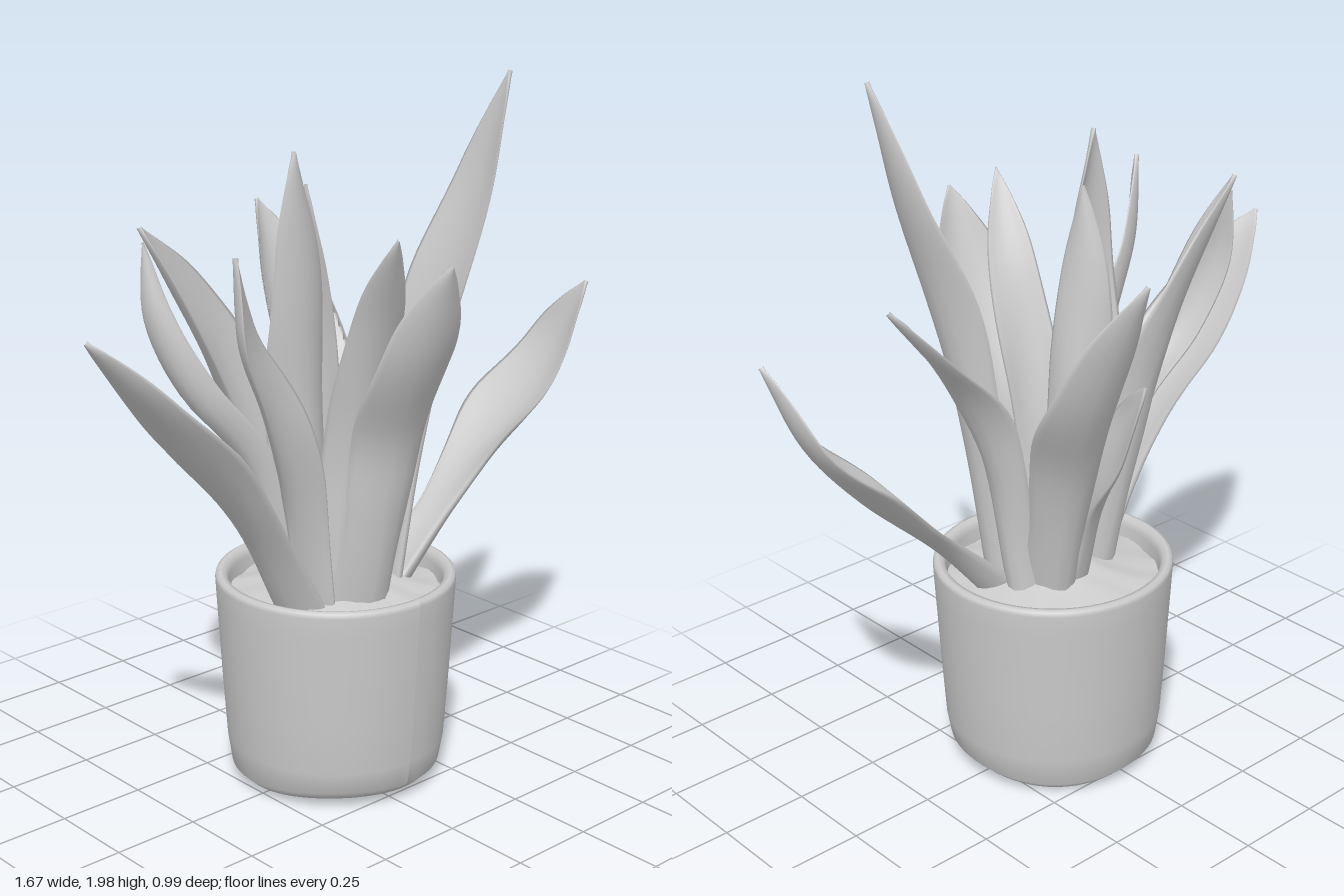
import * as THREE from 'three';

const V = (a) => new THREE.Vector3(...a);
const material = new THREE.MeshStandardMaterial({ color: 0xcccccc });
const CX = 0.025; // pot axis

// A closed, cupped blade swept along a curve.
// side / tipSide = direction across the blade at base and tip, base = width at the soil relative to the widest part
function leafGeometry({ path, side, tipSide = side, width, base = 0.65, cup = 0.25, wave = 0.06 }) {
  const curve = new THREE.CatmullRomCurve3(path.map(V));
  const outline = new THREE.SplineCurve([[0, base], [0.2, base], [0.4, (base + 1) / 2], [0.6, 1], [0.8, 0.78],
    [0.93, 0.35], [1, 0.02]].map((p) => new THREE.Vector2(...p)));
  const rows = 36, half = 8, ring = half * 2;
  const pos = [], index = [];
  const frame = (s) => {
    const t = curve.getTangentAt(s);
    const b = V(side).lerp(V(tipSide), s);
    b.addScaledVector(t, -b.dot(t)).normalize();
    return { b, n: t.clone().cross(b) };
  };
  // The hollow side looks up and towards the plant's centre
  const mid = curve.getPointAt(0.6);
  const inward = new THREE.Vector3(CX - mid.x, 0.15, -mid.z);
  const flip = frame(0.6).n.dot(inward) < 0 ? -1 : 1;
  for (let i = 0; i <= rows; i++) {
    const o = outline.getPoint(i / rows);
    const s = THREE.MathUtils.clamp(o.x, 0, 1);
    const p = curve.getPointAt(s), { b, n } = frame(s);
    const w = Math.max(0.002, o.y * width * 0.5);
    for (let j = 0; j < ring; j++) {
      const u = -Math.cos((j / half) * Math.PI);
      const thick = Math.sin((j / half) * Math.PI) * (0.007 + 0.026 * (1 - s) ** 2);
      const curl = cup * w * (1.6 * u * u - 0.5) * (1.5 - 0.7 * s);
      const ripple = wave * w * u * Math.sin(s * 13 + u);
      const v = p.clone().addScaledVector(b, u * w * flip)
        .addScaledVector(n, (thick + curl + ripple) * flip);
      pos.push(v.x, v.y, v.z);
    }
  }
  for (let i = 0; i < rows; i++) {
    for (let j = 0; j < ring; j++) {
      const k = (j + 1) % ring;
      const a = i * ring + j, c = i * ring + k;
      index.push(a, a + ring, c, c, a + ring, c + ring);
    }
  }
  const g = new THREE.BufferGeometry();
  g.setAttribute('position', new THREE.Float32BufferAttribute(pos, 3));
  g.setIndex(index);
  g.computeVertexNormals();
  return g;
}

const leaves = {
  leftLowLeaf: { path: [[-0.15, 0.55, 0.03], [-0.32, 0.84, 0.05], [-0.55, 1.11, 0.06], [-0.83, 1.43, 0.05]],
    side: [0, 0, 1], tipSide: [0.1, 0.1, 1], width: 0.28, cup: 0.2 },
  rightLowLeaf: { path: [[0.2, 0.57, 0.06], [0.37, 0.75, 0.07], [0.6, 0.96, 0.08], [0.75, 1.14, 0.12], [0.83, 1.35, 0.19]],
    side: [0, 0, 1], tipSide: [-0.2, 0.2, 1], width: 0.28, base: 0.45, cup: 0.2, wave: 0.08 },
  tallRightLeaf: { path: [[0.16, 0.55, 0.05], [0.22, 1.0, 0.08], [0.29, 1.4, 0.13], [0.37, 1.7, 0.19], [0.43, 1.99, 0.24]],
    side: [0.3, 0, 1], tipSide: [-0.2, 0, 1], width: 0.21, cup: 0.2 },
  rightMiddleLeaf: { path: [[0.16, 0.55, -0.03], [0.23, 0.95, -0.01], [0.34, 1.2, 0.0], [0.59, 1.49, -0.02]],
    side: [0.3, 0, 1], tipSide: [0, 0.3, 1], width: 0.19, wave: 0.1 },
  backRightLeaf: { path: [[0.09, 0.55, -0.08], [0.13, 0.95, -0.2], [0.17, 1.25, -0.34], [0.16, 1.58, -0.49]],
    side: [1, 0, 0.3], tipSide: [1, 0, -0.2], width: 0.27, cup: 0.35 },
  backShortLeaf: { path: [[0.03, 0.55, -0.08], [0.02, 0.88, -0.18], [0.0, 1.22, -0.33]],
    side: [0.6, 0, -0.8], tipSide: [0.3, 0, -1], width: 0.17, wave: 0.1 },
  frontLeaf: { path: [[0.02, 0.55, 0.13], [0.03, 0.85, 0.2], [0.03, 1.08, 0.26], [-0.01, 1.33, 0.39], [-0.03, 1.57, 0.49]],
    side: [1, 0, -0.25], tipSide: [1, 0.1, 0.3], width: 0.27, base: 0.82, cup: 0.3 },
  frontInnerLeaf: { path: [[-0.05, 0.55, 0.08], [-0.04, 1.0, 0.14], [-0.05, 1.35, 0.24], [-0.11, 1.63, 0.38]],
    side: [1, 0, 0.3], tipSide: [1, 0, 0.6], width: 0.16, base: 0.9, wave: 0.1 },
  tallLeftLeaf: { path: [[-0.07, 0.55, 0.0], [-0.09, 1.0, -0.01], [-0.1, 1.45, 0.01], [-0.14, 1.81, 0.02]],
    side: [1, 0, 0.3], tipSide: [1, 0, -0.3], width: 0.21, base: 0.8 },
  centreLeaf: { path: [[0.04, 0.55, -0.06], [0.03, 1.0, -0.09], [0.0, 1.4, -0.09], [-0.02, 1.7, -0.07]],
    side: [0.8, 0, 0.6], tipSide: [0.4, 0, 1], width: 0.17, base: 0.9, wave: 0.08 },
  leftBackLeaf: { path: [[-0.1, 0.55, -0.04], [-0.18, 0.95, -0.09], [-0.31, 1.3, -0.11], [-0.52, 1.64, -0.14]],
    side: [1, 0, -0.2], tipSide: [1, -0.3, -0.8], width: 0.27, cup: 0.28 },
  leftUpperLeaf: { path: [[-0.13, 0.55, 0.0], [-0.25, 0.97, -0.01], [-0.42, 1.2, -0.05], [-0.5, 1.4, -0.1], [-0.51, 1.6, -0.14]],
    side: [0.2, 0, 1], tipSide: [0.6, 0, 0.8], width: 0.12, base: 0.9, cup: 0.3 },
  leftFrontLeaf: { path: [[-0.12, 0.55, 0.07], [-0.21, 0.92, 0.12], [-0.35, 1.2, 0.17], [-0.46, 1.4, 0.2], [-0.51, 1.62, 0.23]],
    side: [0.7, 0, 0.5], tipSide: [0.7, 0, -0.9], width: 0.18, cup: 0.25, wave: 0.08 },
};

export function createModel() {
  const model = new THREE.Group();
  model.name = 'pottedPlant';

  // Pot: outer wall, rounded rim, inner wall down to the soil
  const profile = [[0, 0.025], [0.22, 0.02], [0.27, 0.028], [0.298, 0.055], [0.31, 0.13], [0.32, 0.28], [0.328, 0.42],
    [0.335, 0.54], [0.338, 0.6], [0.335, 0.613], [0.324, 0.617], [0.308, 0.612], [0.3, 0.59], [0.295, 0.52]]
    .map((p) => new THREE.Vector2(...p));
  const potGeometry = new THREE.LatheGeometry(profile, 64);
  // Slightly uneven underside
  const pp = potGeometry.attributes.position;
  for (let i = 0; i < pp.count; i++) {
    const y = pp.getY(i), a = Math.atan2(pp.getZ(i), pp.getX(i)), r = Math.hypot(pp.getX(i), pp.getZ(i));
    if (y < 0.1) pp.setY(i, y + r * (0.03 * Math.sin(a) + 0.018 * Math.sin(3 * a + 1)));
  }
  potGeometry.computeVertexNormals();
  const pot = new THREE.Mesh(potGeometry, material);
  pot.name = 'pot';
  pot.position.x = CX;
  model.add(pot);

  // Soil: a low lumpy mound
  const soilGeometry = new THREE.LatheGeometry(
    [[0.3, 0.555], [0.24, 0.565], [0.16, 0.59], [0.08, 0.62], [0, 0.63]].map((p) => new THREE.Vector2(...p)), 48);
  const sp = soilGeometry.attributes.position;
  for (let i = 0; i < sp.count; i++) {
    sp.setY(i, sp.getY(i) + 0.008 * Math.sin(sp.getX(i) * 40) * Math.cos(sp.getZ(i) * 35));
  }
  soilGeometry.computeVertexNormals();
  const soil = new THREE.Mesh(soilGeometry, material);
  soil.name = 'soil';
  soil.position.x = CX;
  model.add(soil);

  // Leaves
  for (const [name, spec] of Object.entries(leaves)) {
    const leaf = new THREE.Mesh(leafGeometry(spec), material);
    leaf.name = name;
    model.add(leaf);
  }
  return model;
}
